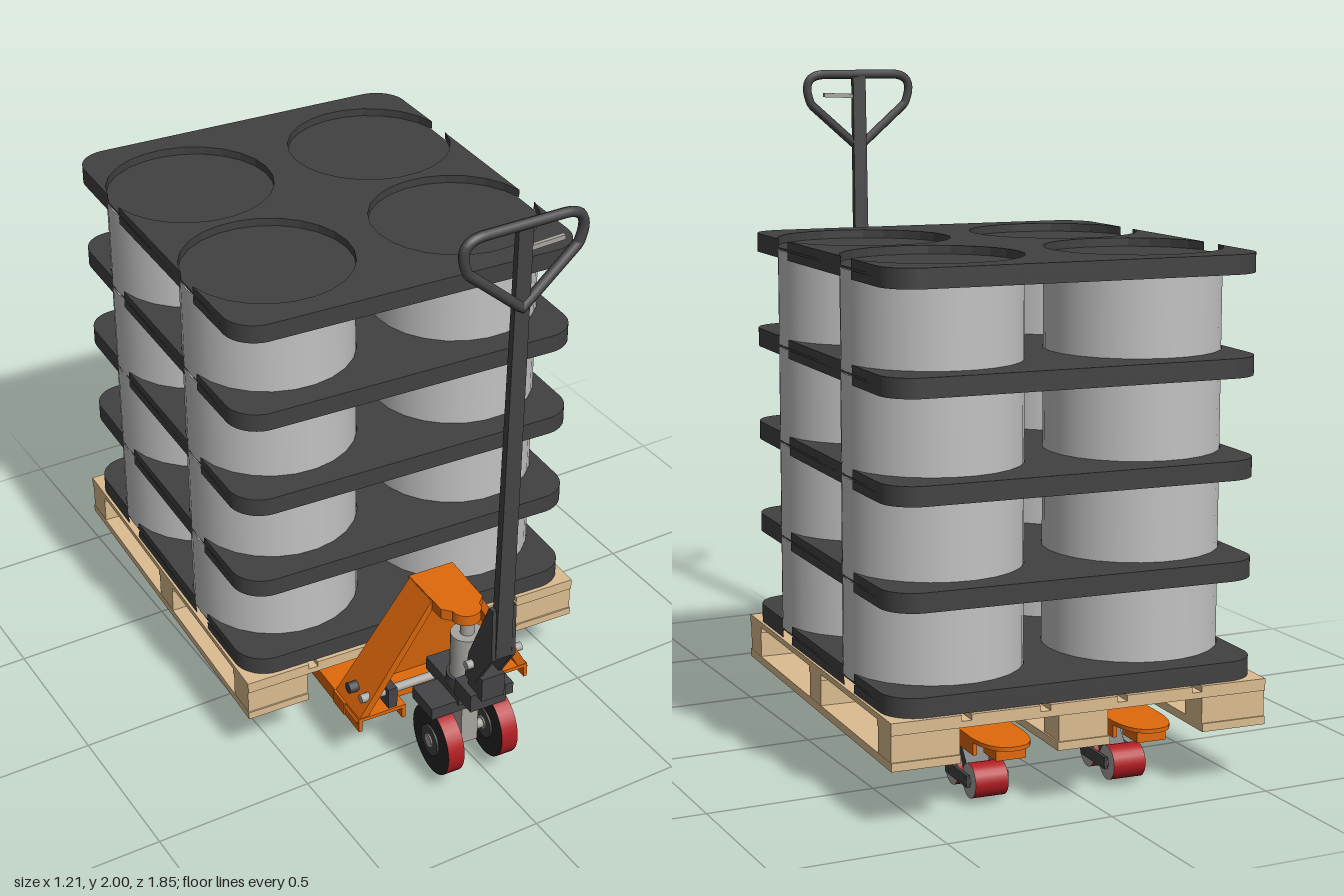
import * as THREE from 'three';

const mat = (name, hex) => {
  const m = new THREE.MeshStandardMaterial({ color: hex });
  m.name = name;
  return m;
};

export function createModel() {
  const tray = mat('charcoal plastic', 0x414141);
  const drum = mat('drum grey', 0xc2c2c2);
  const wood = mat('pallet wood', 0xdcbd90);
  const orange = mat('orange paint', 0xe0690c);
  const steel = mat('dark steel', 0x444446);
  const metal = mat('bright metal', 0xa8a5a0);
  const red = mat('red tread', 0xb01c22);
  const black = mat('black hub', 0x262626);

  // the loaded truck stands slightly turned about its own centre
  const root = new THREE.Group();
  root.name = 'loadedPalletTruck';
  root.position.z = -0.27;
  root.rotation.y = -0.0525;

  const group = (name) => {
    const g = new THREE.Group();
    g.name = name;
    root.add(g);
    return g;
  };
  const add = (g, name, geo, m, x = 0, y = 0, z = 0) => {
    const mesh = new THREE.Mesh(geo, m);
    mesh.name = name;
    mesh.position.set(x, y, z);
    g.add(mesh);
    return mesh;
  };
  // box given by its limits
  const box = (g, name, m, x0, x1, y0, y1, z0, z1) =>
    add(g, name, new THREE.BoxGeometry(x1 - x0, y1 - y0, z1 - z0), m, (x0 + x1) / 2, (y0 + y1) / 2, (z0 + z1) / 2);
  // box whose bottom and top rectangles [x0, x1, z0, z1] differ
  const taper = (g, name, m, y0, y1, b, t) => {
    const geo = new THREE.BoxGeometry(1, 1, 1), p = geo.attributes.position;
    for (let i = 0; i < p.count; i++) {
      const r = p.getY(i) > 0 ? t : b;
      p.setXYZ(i, r[p.getX(i) > 0 ? 1 : 0], p.getY(i) > 0 ? y1 : y0, r[p.getZ(i) > 0 ? 3 : 2]);
    }
    geo.computeVertexNormals();
    return add(g, name, geo, m);
  };
  // horizontal plate from a shape drawn in x and -z
  const plate = (shape, depth, curveSegments = 12) =>
    new THREE.ExtrudeGeometry(shape, { depth, bevelEnabled: false, curveSegments }).rotateX(-Math.PI / 2);
  // upright plate from points [z, y], centred on x
  const sidePlate = (pts, width) => {
    const s = new THREE.Shape(pts.map(([z, y]) => new THREE.Vector2(-z, y)));
    return new THREE.ExtrudeGeometry(s, { depth: width, bevelEnabled: false })
      .translate(0, 0, -width / 2).rotateY(Math.PI / 2);
  };
  // cylinder lying along x
  const axle = (r, len, n = 20) => new THREE.CylinderGeometry(r, r, len, n).rotateZ(Math.PI / 2);

  // ---- pallet ----
  const pallet = group('pallet');
  const W = 0.571, L = 0.628;
  const boards = 5, pitch = (2 * W + 0.03) / boards;
  for (let i = 0; i < boards; i++)
    box(pallet, 'deckBoard', wood, -W + i * pitch, -W + (i + 1) * pitch - 0.03, 0.29, 0.307, -L, L);
  for (const z of [-L + 0.055, 0, L - 0.055]) {
    box(pallet, 'crossBoard', wood, -W, W, 0.272, 0.29, z - 0.055, z + 0.055);
    for (const x of [-0.47, 0, 0.47]) {
      const h = x ? 0.1 : 0.075;
      box(pallet, 'block', wood, x - h, x + h, 0.195, 0.272, z - 0.05, z + 0.05);
    }
  }
  for (const [x0, x1] of [[-W, -0.37], [-0.08, 0.08], [0.37, W]])
    box(pallet, 'bottomRunner', wood, x0, x1, 0.172, 0.196, -L, L);

  // ---- trays with drum recesses that break through the long edges ----
  const TW = 0.562, TL = 0.614, CR = 0.1, CX = 0.31, CZ = 0.275, R = 0.259, H = 0.045;
  const trayShape = (notched) => {
    const s = new THREE.Shape(), a = Math.atan2(H, TW - CX);
    s.moveTo(-TW + CR, -TL);
    s.lineTo(TW - CR, -TL);
    s.absarc(TW - CR, -TL + CR, CR, -Math.PI / 2, 0, false);
    if (notched) for (const z of [-CZ, CZ]) {
      s.lineTo(TW, z - H);
      s.absarc(CX, z, R, -a, a, true);
    }
    s.absarc(TW - CR, TL - CR, CR, 0, Math.PI / 2, false);
    s.absarc(-TW + CR, TL - CR, CR, Math.PI / 2, Math.PI, false);
    if (notched) for (const z of [CZ, -CZ]) {
      s.lineTo(-TW, z + H);
      s.absarc(-CX, z, R, Math.PI - a, Math.PI + a, true);
    }
    s.absarc(-TW + CR, -TL + CR, CR, Math.PI, Math.PI * 1.5, false);
    return s;
  };
  const rim = plate(trayShape(true), 0.025), web = plate(trayShape(false), 0.006);
  const drumGeo = new THREE.CylinderGeometry(0.257, 0.257, 0.283, 32);
  const load = group('drumStack');
  for (let i = 0; i < 5; i++) {
    const y = 0.307 + i * 0.29;
    add(load, 'trayLowerRim', rim, tray, 0, y, 0);
    add(load, 'trayWeb', web, tray, 0, y + 0.025, 0);
    add(load, 'trayUpperRim', rim, tray, 0, y + 0.031, 0);
    if (i < 4) for (const x of [-CX, CX]) for (const z of [-CZ, CZ])
      add(load, 'drum', drumGeo, drum, x, y + 0.173, z);
  }

  // ---- forks with load rollers ----
  const forks = group('forks');
  const FW = 0.08, tip = -0.645, heel = 0.82;
  const forkShape = new THREE.Shape();
  forkShape.moveTo(-FW, -heel);
  forkShape.lineTo(FW, -heel);
  forkShape.lineTo(FW, -tip - 0.12);
  forkShape.quadraticCurveTo(FW * 0.9, -tip, 0, -tip);
  forkShape.quadraticCurveTo(-FW * 0.9, -tip, -FW, -tip - 0.12);
  const forkTop = plate(forkShape, 0.012);
  for (const s of [-1, 1]) {
    const x = s * 0.215;
    add(forks, 'forkTop', forkTop, orange, x, 0.193, 0);
    for (const e of [-1, 1]) {
      const xe = x + e * (FW - 0.006);
      box(forks, 'forkWall', orange, xe - 0.006, xe + 0.006, 0.157, 0.194, tip + 0.11, heel);
      box(forks, 'rollerArm', steel, x + e * 0.059 - 0.005, x + e * 0.059 + 0.005, 0.035, 0.07, -0.45, -0.29);
    }
    box(forks, 'forkTip', orange, x - 0.045, x + 0.045, 0.16, 0.194, tip + 0.03, tip + 0.12);
    box(forks, 'pushRod', steel, x - 0.012, x + 0.012, 0.165, 0.185, -0.27, 0.7);
    add(forks, 'liftLink', sidePlate([[-0.24, 0.185], [-0.29, 0.185], [-0.4, 0.06], [-0.37, 0.035], [-0.34, 0.05]], 0.07), steel, x, 0, 0);
    for (const z of [-0.305, -0.435]) {
      add(forks, 'loadRoller', axle(0.05, 0.1, 24), [red, metal, metal], x, 0.05, z);
      add(forks, 'rollerPin', axle(0.014, 0.13, 12), steel, x, 0.05, z);
    }
  }
  box(forks, 'crossMember', orange, -0.3, 0.3, 0.16, 0.205, 0.66, 0.73);

  // ---- mast frame ----
  const mast = group('mastFrame');
  for (const s of [-1, 1]) {
    const span = (a, b) => (s > 0 ? [a, b] : [-b, -a]);
    taper(mast, 'mastLeg', orange, 0.19, 0.6, [...span(0.27, 0.3), 0.657, 0.816], [...span(0.05, 0.075), 0.726, 0.86]);
    add(mast, 'pivotBoss', axle(0.018, 0.03, 12), steel, s * 0.275, 0.265, 0.737);
    box(mast, 'pivotLug', steel, ...span(0.17, 0.2), 0.22, 0.29, 0.78, 0.83);
  }
  taper(mast, 'backPanel', orange, 0.19, 0.6, [-0.28, 0.28, 0.657, 0.672], [-0.06, 0.06, 0.726, 0.741]);
  add(mast, 'torsionRod', axle(0.014, 0.56, 12), metal, 0, 0.265, 0.8);
  const capShape = new THREE.Shape();
  capShape.moveTo(-0.075, -0.72);
  capShape.lineTo(-0.07, -0.91);
  capShape.absarc(0, -0.935, 0.045, Math.PI, 2 * Math.PI, false);
  capShape.lineTo(0.07, -0.91);
  capShape.lineTo(0.075, -0.72);
  add(mast, 'mastCap', plate(capShape, 0.035), orange, 0, 0.568, 0);

  // ---- pump and steering ----
  const pump = group('pumpAndSteering');
  add(pump, 'pumpCylinder', new THREE.CylinderGeometry(0.05, 0.05, 0.15, 24), metal, 0, 0.445, 0.945);
  add(pump, 'pumpRam', new THREE.CylinderGeometry(0.022, 0.022, 0.06, 16), metal, 0, 0.545, 0.945);
  add(pump, 'pumpBase', new THREE.CylinderGeometry(0.06, 0.06, 0.04, 24), steel, 0, 0.355, 0.945);
  box(pump, 'steeringPlate', steel, -0.14, 0.14, 0.27, 0.31, 0.87, 0.99);
  box(pump, 'pumpFoot', steel, -0.055, 0.055, 0.3, 0.345, 0.8, 1.0);
  box(pump, 'axleBlock', metal, -0.028, 0.028, 0.125, 0.275, 0.915, 0.975);
  add(pump, 'steerAxle', axle(0.016, 0.26, 12), metal, 0, 0.157, 0.95);
  for (const s of [-1, 1]) {
    add(pump, 'steerWheel', axle(0.111, 0.054, 32), [red, black, black], s * 0.092, 0.157, 0.95);
    add(pump, 'wheelHub', axle(0.05, 0.066, 20), steel, s * 0.092, 0.157, 0.95);
    add(pump, 'hubCap', axle(0.022, 0.074, 16), metal, s * 0.092, 0.157, 0.95);
  }

  // ---- handle, turned straight ahead ----
  const handle = group('handle');
  handle.position.set(-0.004, 0, 0);
  const lower = [[1.156, 0.75], [1.135, 0.75], [1.03, 0.52], [1.01, 0.42], [1.06, 0.42], [1.16, 0.575]];
  for (const s of [-1, 1])
    add(handle, 'handleCheek', sidePlate(lower, 0.012), steel, s * 0.033, 0, 0);
  box(handle, 'handleKnuckle', steel, -0.06, 0.06, 0.34, 0.4, 0.99, 1.085);
  box(handle, 'knuckleBlock', steel, -0.038, 0.038, 0.39, 0.47, 1.03, 1.11);
  add(handle, 'handlePin', axle(0.014, 0.12, 12), metal, 0, 0.49, 1.05);
  taper(handle, 'handleBar', steel, 0.575, 1.98, [-0.026, 0.026, 1.13, 1.16], [-0.022, 0.022, 1.17, 1.19]);

  const grip = new THREE.Group();
  grip.name = 'gripLoop';
  grip.position.set(0, 0, 1.182);
  grip.rotation.y = 0.0525;
  handle.add(grip);
  const V = (x, y) => new THREE.Vector3(x, y, 0);
  const loop = new THREE.CurvePath();
  const half = [[V(0, 1.985), V(0.12, 1.985)], [V(0.12, 1.985), V(0.215, 1.985), V(0.17, 1.885)],
    [V(0.17, 1.885), V(0, 1.74)]];
  const flip = (v) => V(-v.x, v.y);
  const curve = (p) => (p.length === 2 ? new THREE.LineCurve3(...p) : new THREE.QuadraticBezierCurve3(...p));
  half.forEach((p) => loop.add(curve(p)));
  half.slice().reverse().forEach((p) => loop.add(curve(p.slice().reverse().map(flip))));
  add(grip, 'gripTube', new THREE.TubeGeometry(loop, 90, 0.015, 8, true), steel);
  const lever = box(grip, 'releaseLever', metal, 0.02, 0.125, 1.908, 1.922, -0.006, 0.006);
  lever.rotation.z = 0.04;

  const model = new THREE.Group();
  model.name = 'palletTruckWithDrums';
  model.add(root);
  return model;
}
